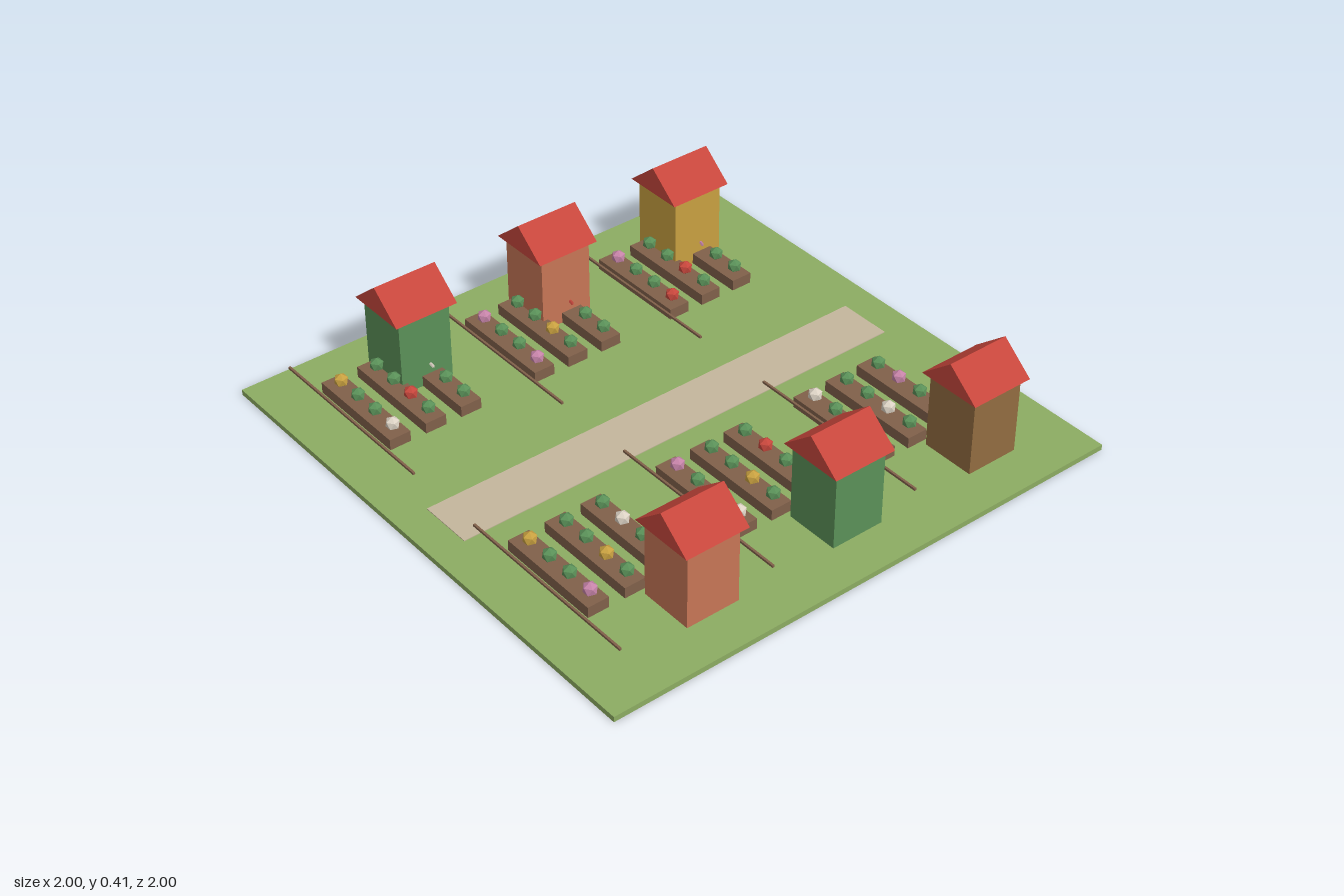
import * as THREE from 'three';

const mat = (name, color) => {
  const m = new THREE.MeshStandardMaterial({ color });
  m.name = name;
  return m;
};

export function createModel() {
  const model = new THREE.Group();
  model.name = 'allotmentGarden';

  const grass = mat('grass', 0x8cac62);
  const gravel = mat('gravel', 0xc4b69c);
  const soil = mat('soil', 0x80604a);
  const red = mat('red', 0xc6463c);
  const green = mat('green', 0x5a9058);
  const terracotta = mat('terracotta', 0xc67656);
  const brown = mat('brown', 0x926c40);
  const yellow = mat('yellow', 0xc8a040);
  const pink = mat('pink', 0xc583a8);
  const white = mat('white', 0xdcd2c4);

  const add = (parent, name, geometry, material, x, y, z) => {
    const mesh = new THREE.Mesh(geometry, material);
    mesh.name = name;
    mesh.position.set(x, y, z);
    parent.add(mesh);
    return mesh;
  };

  // Lawn and central path
  add(model, 'lawn', new THREE.BoxGeometry(2, 0.02, 2), grass, 0, 0.01, 0);
  add(model, 'path', new THREE.BoxGeometry(0.2, 0.006, 1.76), gravel, 0, 0.02, 0);

  // Shared shapes
  const wallGeo = new THREE.BoxGeometry(0.2, 0.295, 0.2);
  const gable = new THREE.Shape([
    new THREE.Vector2(-0.12, 0),
    new THREE.Vector2(0.12, 0),
    new THREE.Vector2(0, 0.1),
  ]);
  const roofGeo = new THREE.ExtrudeGeometry(gable, { depth: 0.24, bevelEnabled: false });
  roofGeo.translate(0, 0, -0.12);
  const bedGeo = new THREE.BoxGeometry(0.4, 0.05, 0.08);
  const railGeo = new THREE.BoxGeometry(0.72, 0.008, 0.008);
  // Cabbage-like ball standing on one vertex
  const plantGeo = new THREE.IcosahedronGeometry(0.026, 0);
  plantGeo.rotateX(-Math.atan((1 + Math.sqrt(5)) / 2));

  // Plots run from back to front; blooms are listed row by row
  const plots = [
    { side: -1, z: -0.54, wall: yellow, blooms: [pink, red, pink, red] },
    { side: -1, z: 0.04, wall: terracotta, blooms: [red, yellow, pink, pink] },
    { side: -1, z: 0.62, wall: green, blooms: [white, red, yellow, white] },
    { side: 1, z: -0.54, wall: brown, blooms: [pink, white, white, yellow] },
    { side: 1, z: 0.04, wall: green, blooms: [red, yellow, pink, white] },
    { side: 1, z: 0.62, wall: terracotta, blooms: [white, yellow, yellow, pink] },
  ];

  for (const { side, z, wall, blooms } of plots) {
    const plot = new THREE.Group();
    plot.name = side < 0 ? 'rightPlot' : 'leftPlot';
    plot.position.z = z;
    model.add(plot);

    // Shed
    add(plot, 'shedWalls', wallGeo, wall, side * 0.74, 0.1575, -0.12);
    add(plot, 'shedRoof', roofGeo, red, side * 0.74, 0.305, -0.12);

    // Three planted beds
    const bedX = side < 0 ? -0.62 : 0.42;
    let bloom = 0;
    for (let row = 0; row < 3; row++) {
      const bedZ = (row - 1) * 0.14;
      add(plot, 'bed', bedGeo, soil, bedX, 0.035, bedZ);
      for (let i = 0; i < 4; i++) {
        const flowering = (i + 2 - row) % 3 === 0;
        add(plot, flowering ? 'flower' : 'cabbage', plantGeo,
          flowering ? blooms[bloom++] : green, bedX - 0.14 + i * 0.1, 0.087, bedZ);
      }
    }

    // Boundary rail
    add(plot, 'fenceRail', railGeo, soil, side * 0.52, 0.125, 0.26);
  }
  return model;
}
